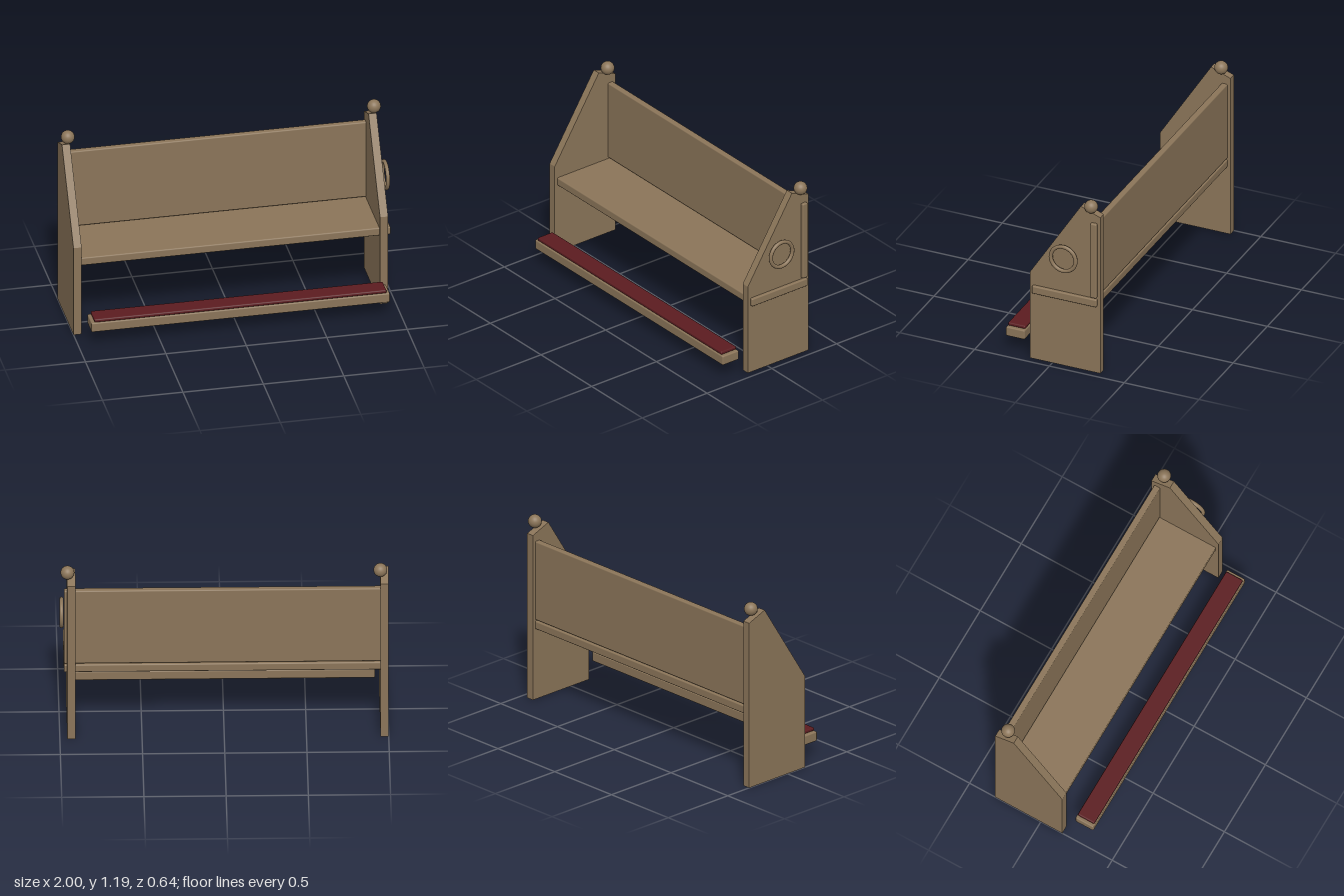
import * as THREE from 'three';
import { RoundedBoxGeometry } from 'three/addons/geometries/RoundedBoxGeometry.js';

export function createModel() {
  const model = new THREE.Group();
  model.name = 'pew';
  const wood = new THREE.MeshStandardMaterial({ color: 0x8b7559 });
  wood.name = 'wood';
  const fabric = new THREE.MeshStandardMaterial({ color: 0x5c1c20 });
  fabric.name = 'red fabric';

  const add = (name, geometry, material, x = 0, y = 0, z = 0) => {
    const mesh = new THREE.Mesh(geometry, material);
    mesh.name = name;
    mesh.position.set(x, y, z);
    model.add(mesh);
    return mesh;
  };
  // Board with softened edges, given by its min and max corners
  const board = (name, material, [x0, y0, z0], [x1, y1, z1], radius) =>
    add(name, new RoundedBoxGeometry(x1 - x0, y1 - y0, z1 - z0, 2, radius), material,
      (x0 + x1) / 2, (y0 + y1) / 2, (z0 + z1) / 2);

  // End panels: side profile in (z, y), extruded along x
  const profile = new THREE.Shape([
    [-0.32, 0], [0.15, 0], [0.15, 0.6], [-0.19, 1.135], [-0.32, 1.085],
  ].map(([z, y]) => new THREE.Vector2(z, y)));
  const panel = new THREE.ExtrudeGeometry(profile, { depth: 0.05, bevelEnabled: false });
  panel.rotateY(-Math.PI / 2);
  const finial = new THREE.SphereGeometry(0.042, 24, 16);
  for (const [side, outerX, ballX] of [['right', -0.95, -0.95], ['left', 0.955, 0.953]]) {
    add(side + 'EndPanel', panel, wood, outerX);
    add(side + 'Finial', finial, wood, ballX, 1.148, -0.258);
  }

  // Seat and backrest, their tenons showing through the left panel
  board('seat', wood, [-0.96, 0.462, -0.3], [0.975, 0.515, 0.13], 0.008);
  board('backrest', wood, [-0.96, 0.523, -0.3], [0.975, 1.04, -0.26], 0.008);

  // Kneeler with its cushion
  board('kneeler', wood, [-0.925, 0.1, 0.198], [0.93, 0.163, 0.324], 0.008);
  board('kneelerCushion', fabric, [-0.905, 0.163, 0.203], [0.91, 0.185, 0.319], 0.008);

  // Ring ornament beside the left panel
  const ring = add('ringOrnament', new THREE.TorusGeometry(0.083, 0.0125, 10, 40), wood, 0.9865, 0.76, -0.086);
  ring.rotation.y = Math.PI / 2;

  return model;
}
